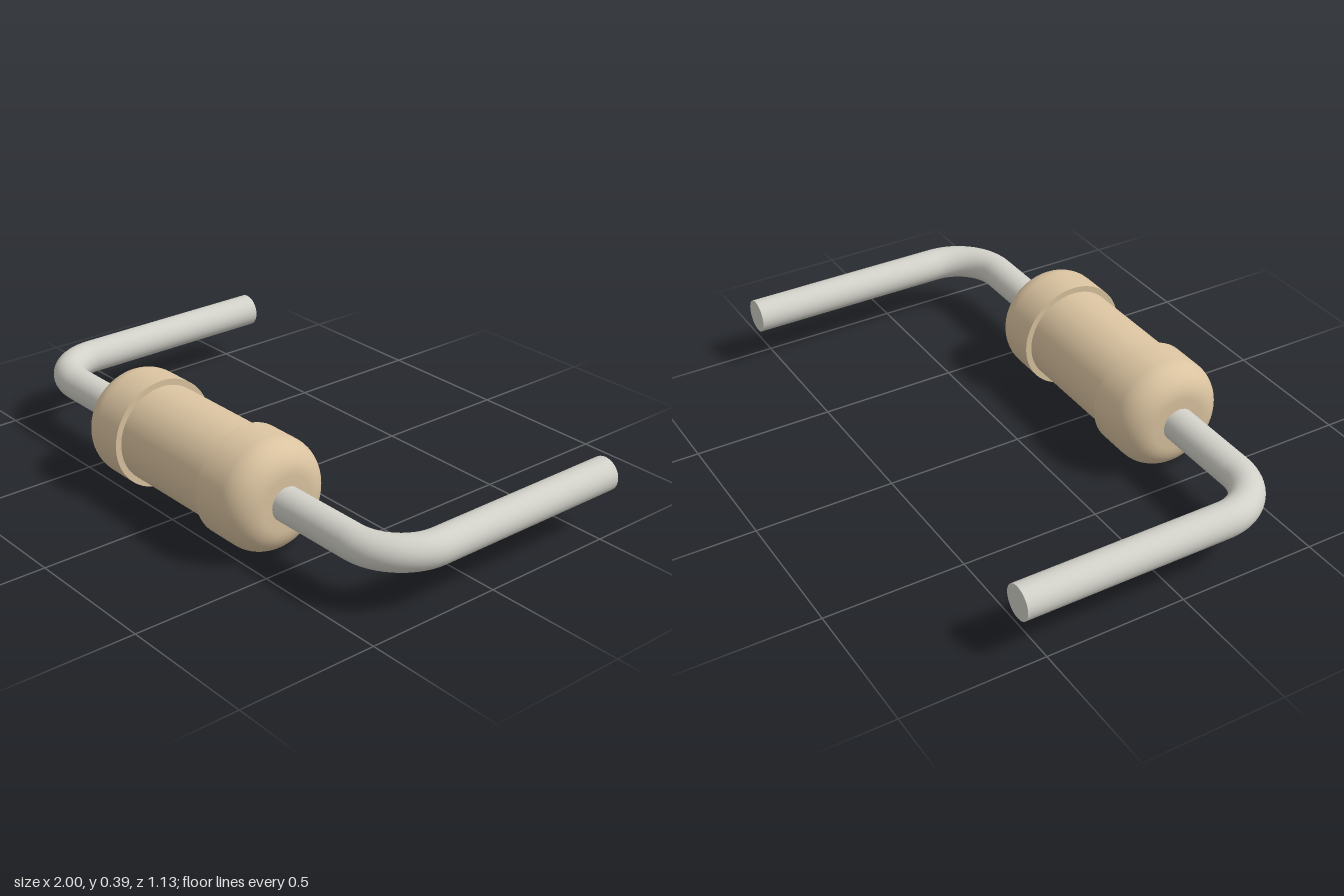
import * as THREE from 'three';
import { toCreasedNormals } from 'three/addons/utils/BufferGeometryUtils.js';

const AXIS_Y = 0.197, AXIS_Z = 0.368;   // centre line of the body
const CAP_R = 0.197, BARREL_R = 0.175, STEP_X = 0.223, END_X = 0.442, FILLET = 0.1;
const WIRE_R = 0.06, LEG_X = 0.94, BEND_R = 0.185, BACK_Z = -0.566;

export function createModel() {
  const group = new THREE.Group();
  const tan = new THREE.MeshStandardMaterial({ color: 0xdac3a0 });
  const metal = new THREE.MeshStandardMaterial({ color: 0xd2d1c9 });

  const add = (name, geometry, material) => {
    const mesh = new THREE.Mesh(geometry, material);
    mesh.name = name;
    group.add(mesh);
    return mesh;
  };

  // Narrower middle of the body
  const barrel = new THREE.CylinderGeometry(BARREL_R, BARREL_R, STEP_X * 2 + 0.02, 64, 1, true);
  add('barrel', barrel.rotateZ(Math.PI / 2), tan).position.set(0, AXIS_Y, AXIS_Z);

  // Rounded end cap: step face, straight wall, fillet, flat end
  const profile = [new THREE.Vector2(BARREL_R - 0.02, STEP_X), new THREE.Vector2(CAP_R, STEP_X)];
  for (let i = 0; i <= 12; i++) {
    const a = (i / 12) * Math.PI / 2;
    profile.push(new THREE.Vector2(
      CAP_R - FILLET + FILLET * Math.cos(a),
      END_X - FILLET + FILLET * Math.sin(a)));
  }
  profile.push(new THREE.Vector2(WIRE_R * 0.8, END_X));
  const capGeometry = toCreasedNormals(new THREE.LatheGeometry(profile, 64), 0.6).rotateZ(-Math.PI / 2);

  for (const s of [1, -1]) {
    const side = s > 0 ? 'left' : 'right';
    const cap = add(side + 'EndCap', capGeometry, tan);
    cap.position.set(0, AXIS_Y, AXIS_Z);
    cap.rotation.y = s > 0 ? 0 : Math.PI;

    // Bent wire: out from the cap, round the corner, then straight back
    const p = (x, z) => new THREE.Vector3(s * x, AXIS_Y, z);
    const bx = LEG_X - BEND_R, bz = AXIS_Z - BEND_R, k = BEND_R * 0.5523;
    const path = new THREE.CurvePath();
    path.add(new THREE.LineCurve3(p(END_X - 0.03, AXIS_Z), p(bx, AXIS_Z)));
    path.add(new THREE.CubicBezierCurve3(
      p(bx, AXIS_Z), p(bx + k, AXIS_Z), p(LEG_X, bz + k), p(LEG_X, bz)));
    path.add(new THREE.LineCurve3(p(LEG_X, bz), p(LEG_X, BACK_Z)));
    add(side + 'Lead', new THREE.TubeGeometry(path, 90, WIRE_R, 32), metal);

    // Flat cut at the wire's end
    const tip = new THREE.CircleGeometry(WIRE_R, 32).rotateY(Math.PI);
    add(side + 'LeadTip', tip, metal).position.set(s * LEG_X, AXIS_Y, BACK_Z);
  }
  return group;
}
